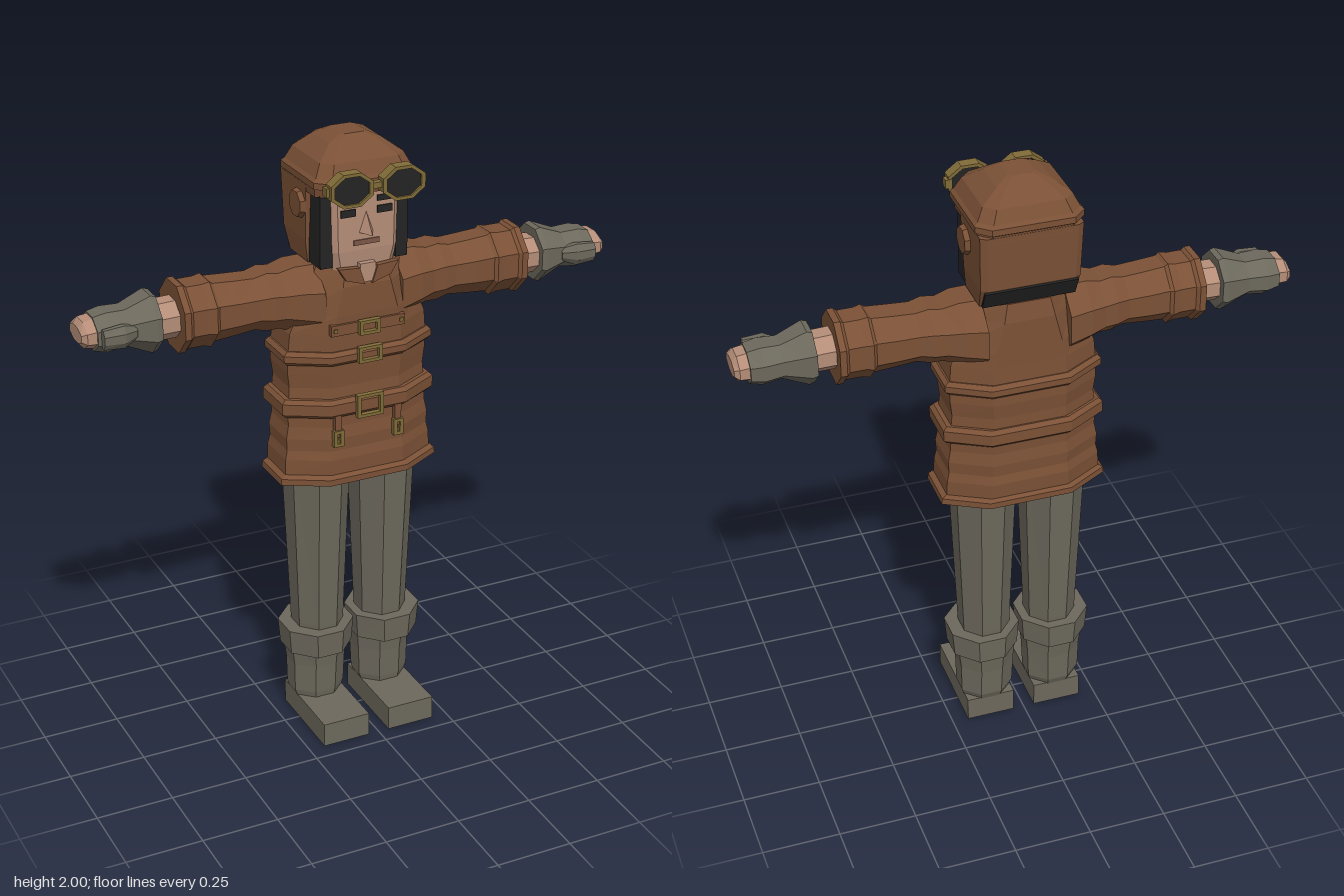
import * as THREE from 'three';

const mat = (name, color) => Object.assign(new THREE.MeshStandardMaterial({ color }), { name });

// Chamfered-box loft along y; each ring is [y, x0, x1, z0, z1], c is the corner cut
function loft(rings, c = 0.3) {
  const k = 1 - 2 * c;
  const corner = [[1, -k], [1, k], [k, 1], [-k, 1], [-1, k], [-1, -k], [-k, -1], [k, -1]];
  const pts = rings.map(([y, x0, x1, z0, z1]) => corner.map(([u, v]) =>
    [(x0 + x1) / 2 + u * (x1 - x0) / 2, y, (z0 + z1) / 2 + v * (z1 - z0) / 2]));
  const out = [];
  const tri = (...p) => p.forEach((q) => out.push(...q));
  for (let r = 0; r + 1 < pts.length; r++) {
    for (let i = 0; i < 8; i++) {
      const j = (i + 1) % 8, lo = pts[r], hi = pts[r + 1];
      tri(lo[i], hi[i], lo[j]);
      tri(hi[i], hi[j], lo[j]);
    }
  }
  const a = pts[0], b = pts[pts.length - 1];
  for (let i = 1; i < 7; i++) {
    tri(a[0], a[i], a[i + 1]);
    tri(b[0], b[i + 1], b[i]);
  }
  const g = new THREE.BufferGeometry();
  g.setAttribute('position', new THREE.Float32BufferAttribute(out, 3));
  g.computeVertexNormals();
  return g;
}

// The same loft laid along x; rings are [x, y0, y1, z0, z1]
function loftX(rings, c) {
  const turn = new THREE.Matrix4().makeBasis(
    new THREE.Vector3(0, 0, 1), new THREE.Vector3(1, 0, 0), new THREE.Vector3(0, 1, 0));
  return loft(rings.map(([x, y0, y1, z0, z1]) => [x, z0, z1, y0, y1]), c).applyMatrix4(turn);
}

function box(x0, x1, y0, y1, z0, z1) {
  return new THREE.BoxGeometry(x1 - x0, y1 - y0, z1 - z0)
    .translate((x0 + x1) / 2, (y0 + y1) / 2, (z0 + z1) / 2);
}

// Mirror across x = 0 with the winding put right
function mirrored(geo) {
  const g = geo.index ? geo.toNonIndexed() : geo.clone();
  const p = g.attributes.position, v = new THREE.Vector3(), w = new THREE.Vector3();
  for (let i = 0; i < p.count; i += 3) {
    v.fromBufferAttribute(p, i);
    w.fromBufferAttribute(p, i + 2);
    p.setXYZ(i, -w.x, w.y, w.z);
    p.setXYZ(i + 2, -v.x, v.y, v.z);
    p.setX(i + 1, -p.getX(i + 1));
  }
  g.computeVertexNormals();
  return g;
}

function octagon(Kind, rx, ry) {
  const s = new Kind();
  for (let i = 0; i < 8; i++) {
    const a = (i + 0.5) * Math.PI / 4;
    s[i ? 'lineTo' : 'moveTo'](rx * Math.cos(a) / 0.924, ry * Math.sin(a) / 0.924);
  }
  s.closePath();
  return s;
}

// Rectangular buckle frame facing +z with a prong across it
function buckle(y, hw, hh, z) {
  const s = new THREE.Shape([[-hw, -hh], [hw, -hh], [hw, hh], [-hw, hh]].map((p) => new THREE.Vector2(...p)));
  const a = hw - 0.012, b = hh - 0.01;
  s.holes.push(new THREE.Path([[-a, -b], [-a, b], [a, b], [a, -b]].map((p) => new THREE.Vector2(...p))));
  return new THREE.ExtrudeGeometry(s, { depth: 0.018, bevelEnabled: false }).translate(0, y, z);
}

export function createModel() {
  const root = new THREE.Group();
  const leather = mat('leather', 0x7b5136), cloth = mat('greyCloth', 0x6c685c);
  const skin = mat('skin', 0xb58d78), dark = mat('darkLining', 0x232323);
  const brass = mat('brass', 0x806b38), lip = mat('lips', 0x7c5646);

  const add = (name, geo, material) => {
    const m = new THREE.Mesh(geo, material);
    m.name = name;
    root.add(m);
  };
  const pair = (name, geo, material) => {
    add('left' + name, geo, material);
    add('right' + name, mirrored(geo), material);
  };

  // Legs and boots
  pair('TrouserLeg', loft([[0.3, 0.035, 0.19, -0.115, 0.045], [0.36, 0.035, 0.193, -0.12, 0.05],
    [0.95, 0.015, 0.215, -0.15, 0.08]]), cloth);
  pair('BootShaft', loft([[0.07, 0.04, 0.195, -0.113, 0.03], [0.1, 0.03, 0.205, -0.125, 0.035],
    [0.2, 0.026, 0.207, -0.13, 0.04], [0.27, 0.02, 0.215, -0.138, 0.048]]), cloth);
  pair('BootCuff', loft([[0.26, 0.012, 0.228, -0.146, 0.08], [0.345, 0.006, 0.235, -0.15, 0.086]]), cloth);
  pair('Foot', box(0.036, 0.197, 0, 0.08, -0.115, 0.196), cloth);

  // Coat body with creases, hem and belts
  const coat = [[0.9, 0.27, -0.18, 0.12], [0.92, 0.268, -0.18, 0.12], [0.93, 0.252, -0.17, 0.106],
    [0.98, 0.25, -0.172, 0.106], [1.01, 0.243, -0.166, 0.1], [1.05, 0.245, -0.169, 0.102],
    [1.09, 0.237, -0.163, 0.096], [1.15, 0.237, -0.166, 0.096], [1.22, 0.23, -0.163, 0.09],
    [1.27, 0.236, -0.168, 0.094], [1.32, 0.237, -0.166, 0.098], [1.4, 0.23, -0.163, 0.1],
    [1.46, 0.205, -0.162, 0.103], [1.55, 0.16, -0.16, 0.1], [1.61, 0.135, -0.15, 0.085]];
  add('coat', loft(coat.map(([y, w, b, f]) => [y, -w, w, b, f]), 0.25), leather);
  const belt = (y0, y1, w, b, f) => {
    const e = 0.012;
    return loft([[y0, -w + e, w - e, b + e, f - e], [y0 + e, -w, w, b, f],
      [y1 - e, -w, w, b, f], [y1, -w + e, w - e, b + e, f - e]], 0.25);
  };
  add('waistBelt', belt(1.125, 1.185, 0.26, -0.182, 0.115), leather);
  add('chestBelt', belt(1.3, 1.345, 0.252, -0.18, 0.115), leather);
  add('chestStrap', box(-0.125, 0.125, 1.4, 1.435, 0.09, 0.11), leather);
  add('waistBuckle', buckle(1.158, 0.045, 0.038, 0.112), brass);
  add('chestBuckle', buckle(1.33, 0.04, 0.026, 0.112), brass);
  add('strapBuckle', buckle(1.418, 0.035, 0.023, 0.108), brass);
  pair('StrapRivet', box(0.105, 0.117, 1.412, 1.424, 0.1, 0.115), brass);
  pair('HangingStrap', box(0.092, 0.114, 1.06, 1.14, 0.09, 0.112), leather);
  pair('HangingBuckle', buckle(1.057, 0.017, 0.027, 0.1).translate(0.103, 0, 0), brass);
  pair('HangingTab', box(0.094, 0.112, 1.03, 1.05, 0.095, 0.11), brass);

  // Neck opening and collar flaps
  add('neck', box(-0.026, 0.026, 1.56, 1.62, 0.05, 0.106), skin);
  const flap = new THREE.Shape([[0.012, 1.555], [0.075, 1.575], [0.1, 1.615], [0.03, 1.61]]
    .map((p) => new THREE.Vector2(...p)));
  pair('CollarFlap', new THREE.ExtrudeGeometry(flap, { depth: 0.02, bevelEnabled: false })
    .translate(0, 0, 0.092), leather);

  // Sleeves, wrists, gloves and fingertips
  pair('Sleeve', loftX([[0.13, 1.37, 1.605, -0.165, 0.085], [0.2, 1.395, 1.605, -0.16, 0.08],
    [0.25, 1.412, 1.592, -0.145, 0.065], [0.29, 1.412, 1.598, -0.142, 0.065],
    [0.33, 1.422, 1.588, -0.13, 0.056], [0.4, 1.415, 1.592, -0.13, 0.058],
    [0.465, 1.41, 1.597, -0.128, 0.058], [0.475, 1.396, 1.605, -0.136, 0.066],
    [0.5, 1.402, 1.6, -0.13, 0.06], [0.55, 1.402, 1.6, -0.13, 0.06],
    [0.56, 1.393, 1.608, -0.14, 0.068], [0.58, 1.393, 1.608, -0.14, 0.068]]), leather);
  pair('Wrist', loftX([[0.55, 1.44, 1.56, -0.1, 0.03], [0.67, 1.44, 1.555, -0.1, 0.03]]), skin);
  pair('Glove', loftX([[0.643, 1.415, 1.585, -0.125, 0.05], [0.66, 1.408, 1.59, -0.127, 0.053],
    [0.74, 1.443, 1.558, -0.11, 0.036], [0.8, 1.435, 1.56, -0.115, 0.042],
    [0.84, 1.445, 1.552, -0.108, 0.036]]), cloth);
  pair('Thumb', loftX([[0.72, 1.48, 1.52, 0.01, 0.045], [0.765, 1.465, 1.535, 0.02, 0.07],
    [0.83, 1.47, 1.53, 0.03, 0.066]]), cloth);
  pair('Fingers', loftX([[0.83, 1.452, 1.548, -0.1, 0.03], [0.87, 1.458, 1.542, -0.1, 0.03],
    [0.885, 1.475, 1.525, -0.088, 0.018]]), skin);

  // Head and face
  add('head', loft([[1.6, -0.1, 0.1, -0.1, 0.085], [1.66, -0.115, 0.115, -0.12, 0.092],
    [1.87, -0.12, 0.12, -0.12, 0.092]], 0.1), skin);
  add('nose', new THREE.ConeGeometry(1, 1, 3).toNonIndexed().applyMatrix4(
    new THREE.Matrix4().makeScale(0.04, 0.065, 0.045)).translate(0, 1.748, 0.092), skin);
  add('mouth', box(-0.042, 0.042, 1.677, 1.693, 0.088, 0.096), lip);
  pair('Eyebrow', box(0.036, 0.09, 1.808, 1.826, 0.088, 0.096), dark);
  pair('Eye', box(0.036, 0.085, 1.77, 1.793, 0.088, 0.096), dark);

  // Flying cap: dome, neck guard, dark lining and ear pads
  const dome = [[1.84, 0.158, -0.185, 0.1], [1.865, 0.16, -0.185, 0.105], [1.87, 0.168, -0.192, 0.12],
    [1.89, 0.168, -0.192, 0.12], [1.9, 0.158, -0.183, 0.112], [1.94, 0.138, -0.165, 0.092],
    [1.98, 0.085, -0.125, 0.035], [2.0, 0.042, -0.088, 0.008]];
  add('capDome', loft(dome.map(([y, w, b, f]) => [y, -w, w, b, f]), 0.12), leather);
  add('neckGuard', loft([[1.61, -0.15, 0.15, -0.14, 0.005], [1.68, -0.156, 0.156, -0.175, 0.005],
    [1.86, -0.16, 0.16, -0.186, 0.02]], 0.06), leather);
  add('neckLining', box(-0.146, 0.146, -0.034, 0.034, -0.004, 0.004)
    .rotateX(-0.46).translate(0, 1.644, -0.16), dark);
  add('bottomLining', box(-0.14, 0.14, 1.606, 1.614, -0.135, 0), dark);
  pair('SideLining', box(0.106, 0.146, 1.612, 1.845, -0.02, 0.078), dark);
  pair('EarPad', new THREE.CylinderGeometry(0.042, 0.05, 0.03, 8).toNonIndexed()
    .rotateY(Math.PI / 8).rotateZ(-Math.PI / 2).translate(0.16, 1.79, -0.04), leather);

  // Goggles
  const rim = octagon(THREE.Shape, 0.069, 0.052);
  rim.holes.push(octagon(THREE.Path, 0.057, 0.042));
  pair('GoggleRim', new THREE.ExtrudeGeometry(rim, { depth: 0.038, bevelEnabled: false })
    .translate(0.085, 1.882, 0.137), brass);
  pair('GoggleLens', new THREE.ExtrudeGeometry(octagon(THREE.Shape, 0.06, 0.045),
    { depth: 0.025, bevelEnabled: false }).translate(0.085, 1.882, 0.143), dark);
  add('goggleBridge', box(-0.022, 0.022, 1.875, 1.893, 0.143, 0.165), brass);
  pair('GoggleClip', box(0.148, 0.164, 1.868, 1.896, 0.135, 0.162), brass);

  // Flat facets everywhere
  root.traverse((m) => {
    if (!m.isMesh) return;
    if (m.geometry.index) m.geometry = m.geometry.toNonIndexed();
    m.geometry.computeVertexNormals();
  });
  return root;
}
